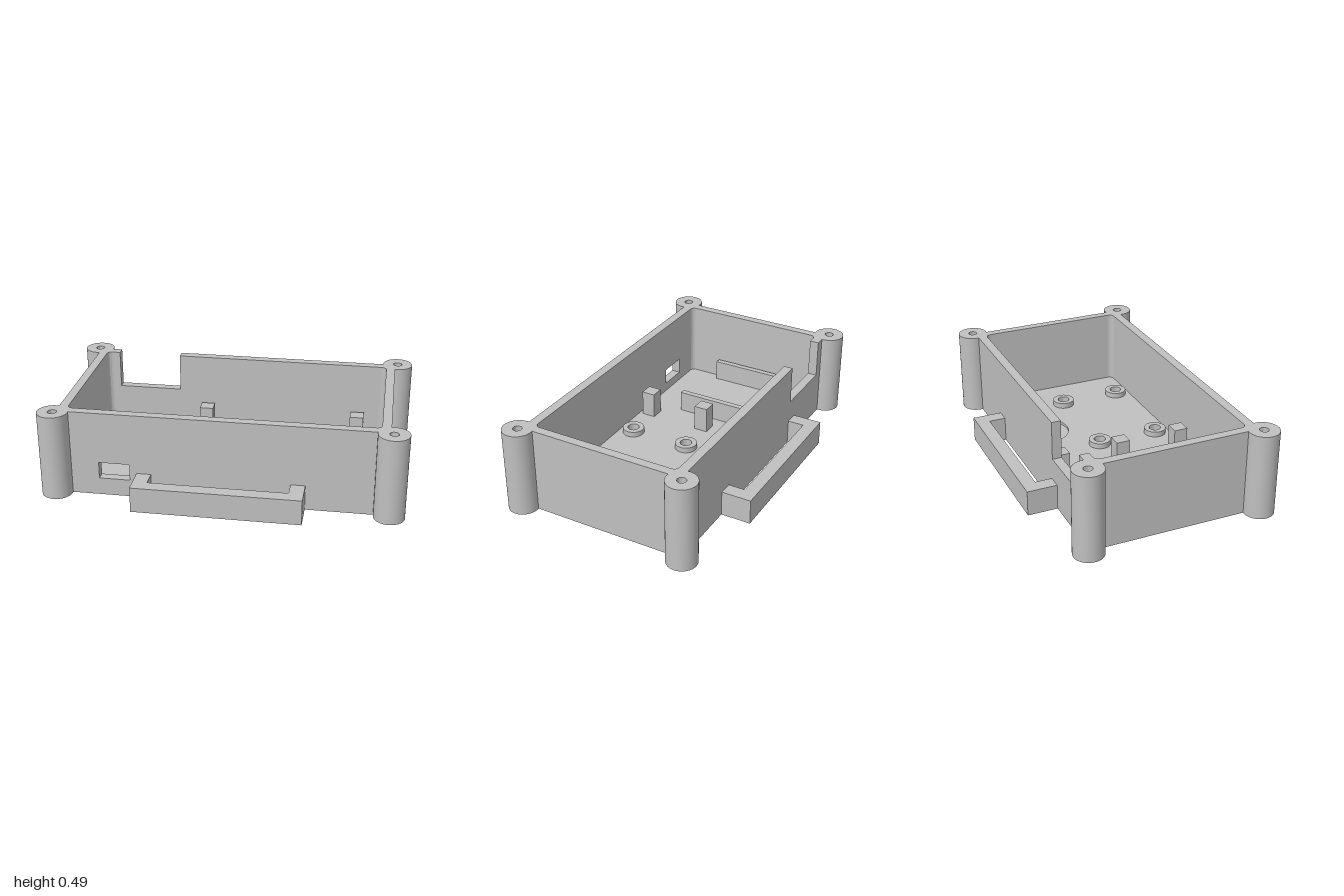
import * as THREE from 'three';
import { toCreasedNormals } from 'three/addons/utils/BufferGeometryUtils.js';

const H = 0.49;                 // enclosure height
const FLOOR = 0.048;            // floor thickness
const OUT = { x: 0.9, z: 0.48 };
const INN = { x: 0.85, z: 0.427 };

export function createModel() {
  const model = new THREE.Group();
  model.name = 'enclosure';
  const grey = new THREE.MeshStandardMaterial({ color: 0xc0c0c0 });
  grey.name = 'light grey plastic';

  const add = (name, geometry, x = 0, y = 0, z = 0) => {
    const mesh = new THREE.Mesh(toCreasedNormals(geometry, 0.6), grey);
    mesh.name = name;
    mesh.position.set(x, y, z);
    model.add(mesh);
    return mesh;
  };
  const shapeOf = (pts) => new THREE.Shape(pts.map(([x, y]) => new THREE.Vector2(x, y)));
  const rect = (x0, y0, x1, y1) => shapeOf([[x0, y0], [x1, y0], [x1, y1], [x0, y1]]);
  const circle = (x, y, r) => new THREE.Path().absarc(x, y, r, 0, Math.PI * 2, true);
  const extrude = (shape, depth) =>
    new THREE.ExtrudeGeometry(shape, { depth, bevelEnabled: false, curveSegments: 32 });
  // plan shapes are drawn as (x, -z) and raised along y
  const raise = (shape, height) => extrude(shape, height).rotateX(-Math.PI / 2);
  const box = (name, w, h, d, x, y, z) =>
    add(name, new THREE.BoxGeometry(w, h, d), x, y + h / 2, z);
  const lathe = (pts, n = 48) =>
    new THREE.LatheGeometry(pts.map(([r, y]) => new THREE.Vector2(r, y)), n);

  // front wall with a port, back wall with a notch open at the top
  const wallX = 0.88, thick = OUT.z - INN.z;
  const front = rect(-wallX, 0, wallX, H);
  front.holes.push(new THREE.Path(rect(-0.675, 0.1, -0.503, 0.195).getPoints().reverse()));
  add('frontWall', extrude(front, thick), 0, 0, INN.z);
  const back = shapeOf([[-wallX, 0], [wallX, 0], [wallX, H], [-0.4, H],
    [-0.4, 0.27], [-0.775, 0.27], [-0.775, H], [-wallX, H]]);
  add('backWall', extrude(back, thick), 0, 0, -OUT.z);

  // side walls
  for (const s of [-1, 1]) {
    box(s > 0 ? 'leftWall' : 'rightWall', OUT.x - INN.x, H, 0.9, s * (OUT.x + INN.x) / 2, 0, 0);
  }

  // floor: through holes under the standoffs, and a shallow round recess
  const standoffs = [];
  for (const x of [0.03, 0.602]) for (const z of [-0.018, 0.341]) standoffs.push([x, z]);
  const recess = 0.015;
  const floorShape = () => {
    const s = rect(-INN.x, -INN.z, INN.x, INN.z);
    for (const [x, z] of standoffs) s.holes.push(circle(x, -z, 0.064));
    return s;
  };
  add('floorBase', raise(floorShape(), FLOOR - recess));
  const upper = floorShape();
  upper.holes.push(circle(0.315, 0.265, 0.152));
  add('floorTop', raise(upper, recess), 0, FLOOR - recess, 0);

  // standoffs with countersunk screw holes
  for (const [x, z] of standoffs) {
    add('standoff', lathe([[0.064, 0], [0.064, 0.08], [0.034, 0.08],
      [0.034, 0.033], [0.057, 0], [0.064, 0]], 32), x, 0, z);
  }

  for (const sx of [-1, 1]) for (const sz of [-1, 1]) {
    // corner posts with blind screw holes
    add('cornerPost', lathe([[0, 0], [0.085, 0], [0.085, H], [0.025, H], [0.025, 0.19], [0, 0.19]]),
      sx * 0.915, 0, sz * 0.492);
    // rounded inner corners
    const r = 0.03;
    const fillet = new THREE.Shape();
    fillet.moveTo(0, 0);
    fillet.lineTo(-r, 0);
    fillet.absarc(-r, -r, r, Math.PI / 2, 0, true);
    fillet.lineTo(0, 0);
    const turn = sx > 0 ? (sz < 0 ? 0 : -Math.PI / 2) : (sz < 0 ? Math.PI / 2 : Math.PI);
    add('innerCorner', raise(fillet, H), sx * INN.x, 0, sz * INN.z).rotation.y = turn;
  }

  // strap loops on the front and back
  const loop = shapeOf([[-0.463, 0.46], [-0.383, 0.46], [-0.383, 0.575], [0.383, 0.575],
    [0.383, 0.46], [0.463, 0.46], [0.463, 0.65], [-0.463, 0.65]]);
  add('backStrapLoop', raise(loop, 0.145));
  add('frontStrapLoop', raise(loop, 0.145)).rotation.y = Math.PI;

  // square pegs and retaining ribs on the floor
  for (const [x, z] of [[-0.22, -0.363], [-0.22, 0], [-0.22, 0.363], [0.692, -0.363]]) {
    box('peg', 0.08, 0.2 - 0.04, 0.08, x, 0.04, z);
  }
  for (const x of [-0.822, -0.353]) box('rib', 0.034, 0.17 - 0.04, 0.446, x, 0.04, 0);

  return model;
}
